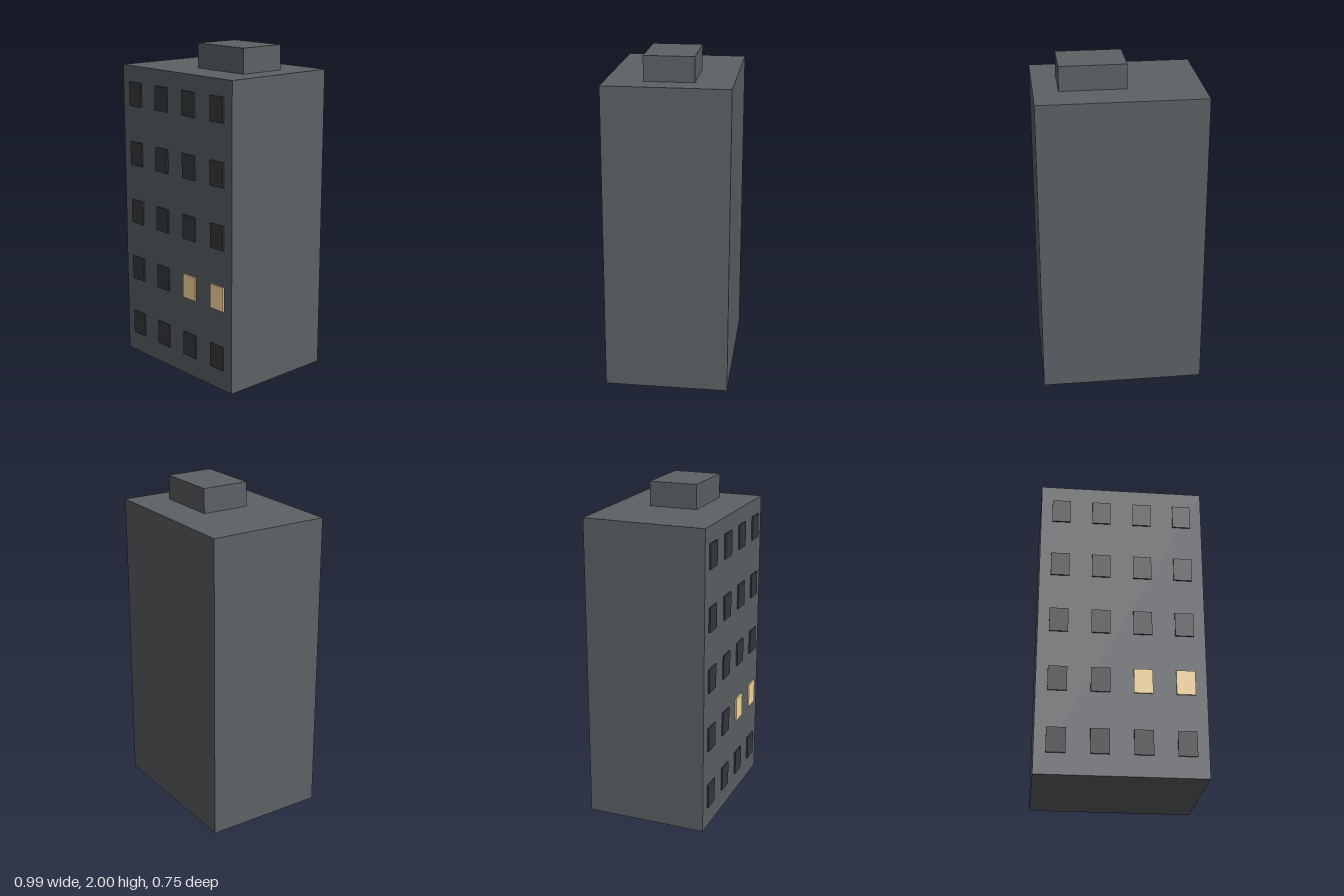
import * as THREE from 'three';

const wallMat = new THREE.MeshStandardMaterial({ color: 0x5c6165 });
const darkMat = new THREE.MeshStandardMaterial({ color: 0x353a3d });
const litMat = new THREE.MeshStandardMaterial({ color: 0xfcdca0 });

function box(name, size, position, material) {
  const mesh = new THREE.Mesh(new THREE.BoxGeometry(...size), material);
  mesh.name = name;
  mesh.position.set(...position);
  return mesh;
}

export function createModel() {
  const group = new THREE.Group();
  group.name = 'apartmentBlock';

  // Main tower and the small plant room on its roof
  const frontZ = 0.366;
  group.add(box('tower', [0.988, 1.852, 0.741], [0, 0.926, -0.0045], wallMat));
  group.add(box('roofHut', [0.395, 0.148, 0.296], [0.148, 1.926, -0.0045], wallMat));

  // Front windows: five floors of four, two of them lit
  const windows = new THREE.Group();
  windows.name = 'windows';
  for (let floor = 0; floor < 5; floor++) {
    for (let col = 0; col < 4; col++) {
      const lit = floor === 1 && col >= 2;
      windows.add(box(
        lit ? 'litWindow' : 'darkWindow',
        [0.111, 0.148, 0.018],
        [(col - 1.5) * 0.247, 0.2 + floor * 0.37, frontZ],
        lit ? litMat : darkMat
      ));
    }
  }
  group.add(windows);
  return group;
}
